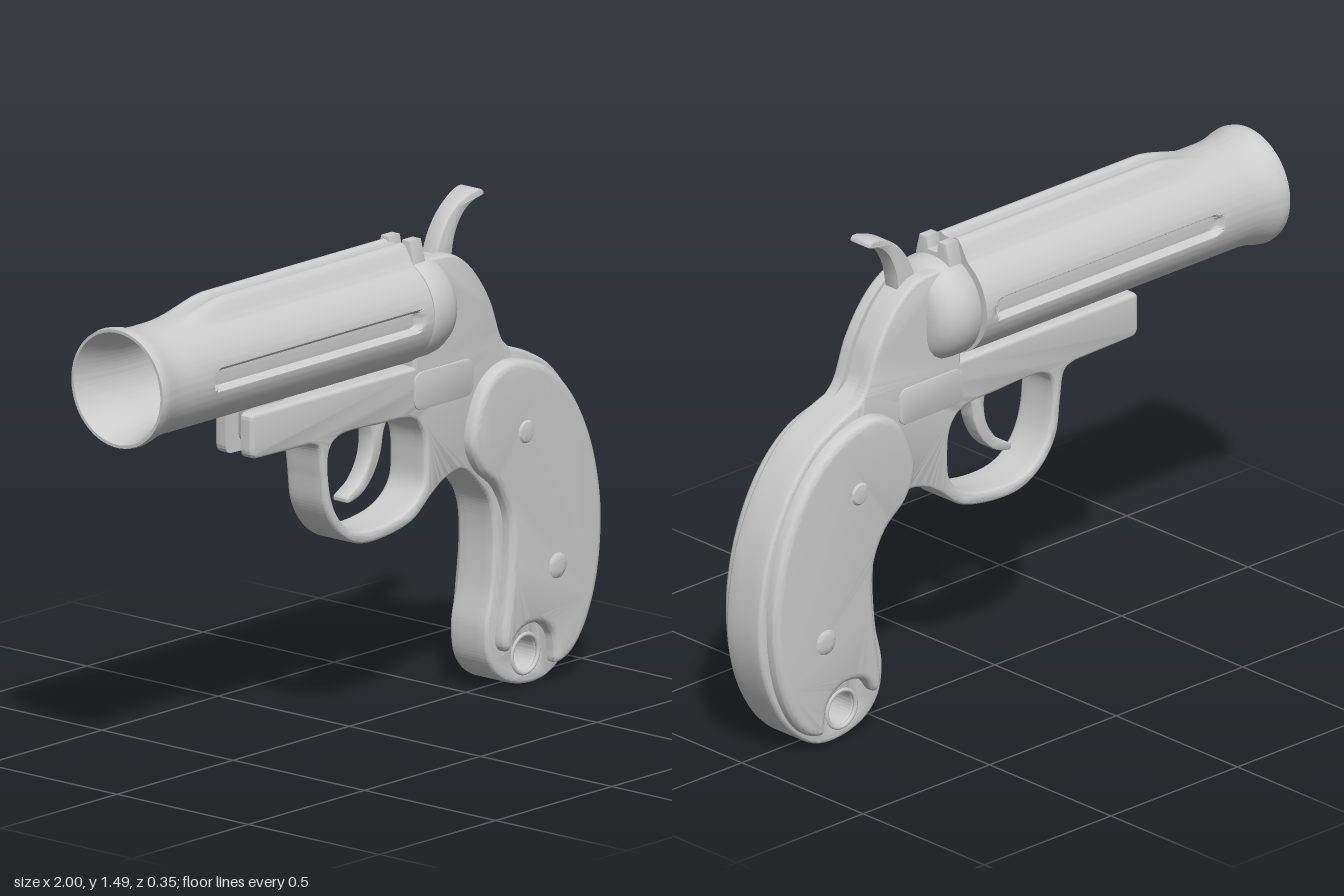
import * as THREE from 'three';
import { toCreasedNormals } from 'three/addons/utils/BufferGeometryUtils.js';

const material = new THREE.MeshStandardMaterial({ color: 0xcccccc });
const AXIS_Y = 1.205;
const v2 = (pts) => pts.map(([x, y]) => new THREE.Vector2(x, y));
const smooth = THREE.MathUtils.smoothstep;

function add(parent, name, geometry, x = 0, y = 0, z = 0) {
  const mesh = new THREE.Mesh(geometry, material);
  mesh.name = name;
  mesh.position.set(x, y, z);
  parent.add(mesh);
  return mesh;
}

// Slab centred on z = 0 with rounded edges that stay inside the outline
function slab(shape, half, bevel = 0, bevelSegments = 4) {
  const g = new THREE.ExtrudeGeometry(shape, {
    depth: 2 * (half - bevel), curveSegments: 48, bevelEnabled: bevel > 0,
    bevelSize: bevel, bevelThickness: bevel, bevelOffset: -bevel, bevelSegments,
  });
  return g.translate(0, 0, bevel - half);
}

// Moves every vertex by a rule
function warp(g, rule) {
  const p = g.attributes.position, v = new THREE.Vector3();
  for (let i = 0; i < p.count; i++) {
    rule(v.fromBufferAttribute(p, i));
    p.setXYZ(i, v.x, v.y, v.z);
  }
  return g;
}

const crease = (g, angle = 0.6) => toCreasedNormals(g, angle);

function closedCurve(pts) {
  const curve = new THREE.CatmullRomCurve3(pts.map(([x, y]) => new THREE.Vector3(x, y, 0)), true, 'centripetal');
  return new THREE.Shape(curve.getPoints(pts.length * 6).slice(0, -1).map((p) => new THREE.Vector2(p.x, p.y)));
}

function roundedRect(x0, y0, x1, y1, r) {
  const s = new THREE.Shape();
  s.absarc(x1 - r, y0 + r, r, -Math.PI / 2, 0);
  s.absarc(x1 - r, y1 - r, r, 0, Math.PI / 2);
  s.absarc(x0 + r, y1 - r, r, Math.PI / 2, Math.PI);
  s.absarc(x0 + r, y0 + r, r, Math.PI, Math.PI * 1.5);
  return s;
}

// Frame outline: side plates reach forward along the rail, the core is set back to leave slots
function frameShape(frontX, recess) {
  const s = new THREE.Shape();
  s.moveTo(frontX, 1.02);
  s.lineTo(frontX, 0.935);
  s.quadraticCurveTo(frontX, 0.905, frontX + 0.03, 0.905);
  s.lineTo(-0.25, 0.9);
  s.splineThru(v2([[-0.21, 0.88], [-0.195, 0.8], [-0.18, 0.7], [-0.13, 0.62], [-0.05, 0.57], [0.05, 0.56],
    [0.19, 0.585], [0.28, 0.65], [0.34, 0.685], [0.41, 0.695], [0.48, 0.64], [0.53, 0.57], [0.545, 0.46],
    [0.535, 0.32], [0.51, 0.2], [0.525, 0.1], [0.59, 0.035], [0.7, 0.008], [0.8, 0.03], [0.9, 0.12],
    [0.97, 0.26], [0.997, 0.42], [0.97, 0.62], [0.9, 0.79], [0.8, 0.92], [0.7, 0.985], [0.61, 1.02]]));
  s.splineThru(v2([[0.575 - recess, 1.06], [0.53 - recess, 1.175], [0.46 - recess, 1.275],
    [0.38 - recess, 1.335], [0.3, 1.345 - recess]]));
  s.lineTo(0.2, 1.345 - recess);
  s.lineTo(0.2, 1.04);
  s.lineTo(frontX + 0.02, 1.04);
  s.quadraticCurveTo(frontX, 1.04, frontX, 1.02);
  const guard = closedCurve([[-0.12, 0.9], [0.05, 0.9], [0.2, 0.885], [0.24, 0.84], [0.25, 0.76], [0.24, 0.68],
    [0.18, 0.625], [0.04, 0.597], [-0.07, 0.615], [-0.135, 0.68], [-0.165, 0.78], [-0.16, 0.87]]);
  const lanyard = new THREE.Path();
  lanyard.absarc(0.675, 0.1, 0.05, 0, Math.PI * 2, true);
  s.holes.push(guard, lanyard);
  return s;
}

function barrelGeometry() {
  // Bore, flared muzzle, then the outer wall back to the breech
  const profile = [[0, 0.12], [0.13, 0.12], [0.13, -0.85], [0.142, -0.93], [0.165, -1], [0.174, -1],
    [0.177, -0.985], [0.174, -0.965], [0.167, -0.94], [0.162, -0.91]];
  for (let i = 0; i <= 70; i++) profile.push([0.16, -0.88 + (i / 70) * 1.065]);
  profile.push([0, 0.185]);
  const g = new THREE.LatheGeometry(v2(profile), 144).rotateZ(-Math.PI / 2);
  return crease(warp(g, (v) => {
    const r = Math.hypot(v.y, v.z);
    if (r < 0.155 || v.x < -0.89) return;
    // Round-ended flute on each side
    const d = Math.hypot(Math.max(Math.abs(v.x + 0.305) - 0.415, 0), v.y) - 0.034;
    v.z *= 1 - 0.16 * (1 - smooth(d, -0.014, 0.003));
    // Raised sighting rib with a shallow channel
    if (v.y > 0) {
      const rise = smooth(v.x, -0.82, -0.58), side = Math.abs(v.z);
      v.y += rise * (0.2 - v.y) * (1 - smooth(side, 0.035, 0.085));
      v.y -= rise * 0.006 * (1 - smooth(side, 0.016, 0.028));
    }
  }), 0.7);
}

export function createModel() {
  const model = new THREE.Group();
  model.name = 'flarePistol';

  // Barrel group
  const barrel = new THREE.Group();
  barrel.name = 'barrelAssembly';
  model.add(barrel);
  add(barrel, 'barrel', barrelGeometry(), 0, AXIS_Y, 0);
  add(barrel, 'hingeLug', crease(slab(roundedRect(-0.45, 0.93, -0.31, 1.07, 0.03), 0.026, 0.004)));
  add(barrel, 'extractor', new THREE.BoxGeometry(0.05, 0.07, 0.26), 0.18, AXIS_Y, 0);

  // Frame: core between two side plates
  add(model, 'frameCore', crease(slab(frameShape(-0.29, 0.018), 0.031)));
  for (const side of [1, -1]) {
    const g = warp(slab(frameShape(-0.5, 0), 0.072, 0.013), (v) => {
      v.z = side * Math.max(side * v.z, 0.03);
    });
    add(model, side > 0 ? 'frontFramePlate' : 'backFramePlate', crease(g));
  }

  // Domed standing breech
  const breech = new THREE.LatheGeometry(v2([[0, 0.197], [0.152, 0.197], [0.156, 0.203], [0.156, 0.25],
    [0.152, 0.28], [0.14, 0.306], [0.12, 0.326], [0.095, 0.337], [0.06, 0.341], [0, 0.342]]), 72);
  add(model, 'breech', crease(breech.rotateZ(-Math.PI / 2), 0.7), 0, AXIS_Y, 0);

  // Notched rear sight
  const sight = new THREE.Shape(v2([[-0.073, 1.28], [0.073, 1.28], [0.07, 1.35], [0.055, 1.41],
    [0.025, 1.41], [0.018, 1.375], [-0.018, 1.375], [-0.025, 1.41], [-0.055, 1.41], [-0.07, 1.35]]));
  add(model, 'rearSight', crease(slab(sight, 0.025, 0.003, 2).rotateY(Math.PI / 2)), 0.222, 0, 0);

  // Hammer, widening towards the thumb spur
  const hammer = closedCurve([[0.33, 1.25], [0.345, 1.34], [0.375, 1.405], [0.42, 1.457], [0.475, 1.488],
    [0.525, 1.496], [0.535, 1.482], [0.49, 1.467], [0.45, 1.432], [0.42, 1.375], [0.405, 1.3], [0.39, 1.23]]);
  add(model, 'hammer', crease(warp(slab(hammer, 0.029, 0.004, 2), (v) => {
    v.z *= 1 + 0.4 * smooth(v.x, 0.42, 0.53);
  })));

  // Trigger
  const trigger = closedCurve([[0.06, 0.93], [0.068, 0.85], [0.055, 0.785], [0.015, 0.728], [-0.04, 0.692],
    [-0.038, 0.679], [0.02, 0.692], [0.07, 0.735], [0.105, 0.8], [0.118, 0.86], [0.145, 0.93]]);
  add(model, 'trigger', crease(slab(trigger, 0.028, 0.006)));

  // Grip panels, screws, side plates and lanyard rims, mirrored front to back
  const gripOutline = closedCurve([[0.412, 0.77], [0.43, 0.86], [0.48, 0.945], [0.56, 0.985], [0.64, 0.98],
    [0.74, 0.94], [0.84, 0.85], [0.92, 0.71], [0.965, 0.54], [0.97, 0.4], [0.945, 0.25], [0.89, 0.13],
    [0.83, 0.07], [0.775, 0.058], [0.767, 0.1], [0.755, 0.15], [0.715, 0.185], [0.66, 0.193], [0.61, 0.175],
    [0.57, 0.13], [0.548, 0.15], [0.562, 0.28], [0.578, 0.43], [0.57, 0.54], [0.525, 0.625], [0.45, 0.69]]);
  const gripGeometry = crease(slab(gripOutline, 0.045, 0.024, 6), 0.7);
  const plateGeometry = crease(slab(roundedRect(0.195, 0.91, 0.45, 1.022, 0.032), 0.006, 0.003, 2));
  const screwProfile = v2([[1, 0], [1, 0.004], [0.85, 0.009], [0.5, 0.011], [0, 0.012]]);
  for (const side of [1, -1]) {
    const half = new THREE.Group();
    half.name = side > 0 ? 'frontFittings' : 'backFittings';
    // Symmetric slabs are placed by z alone
    add(half, 'gripPanel', gripGeometry, 0, 0, side * 0.065);
    add(half, 'sidePlate', plateGeometry, 0, 0, side * 0.07);
    for (const [x, y, r] of [[0.638, 0.77, 0.034], [0.772, 0.348, 0.038]]) {
      const g = new THREE.LatheGeometry(screwProfile.map((p) => new THREE.Vector2(p.x * r, p.y)), 32);
      add(half, 'gripScrew', crease(g.rotateX(side * Math.PI / 2)), x, y, side * 0.106);
    }
    add(half, 'lanyardRim', new THREE.TorusGeometry(0.057, 0.007, 10, 40), 0.675, 0.1, side * 0.07);
    model.add(half);
  }
  return model;
}
